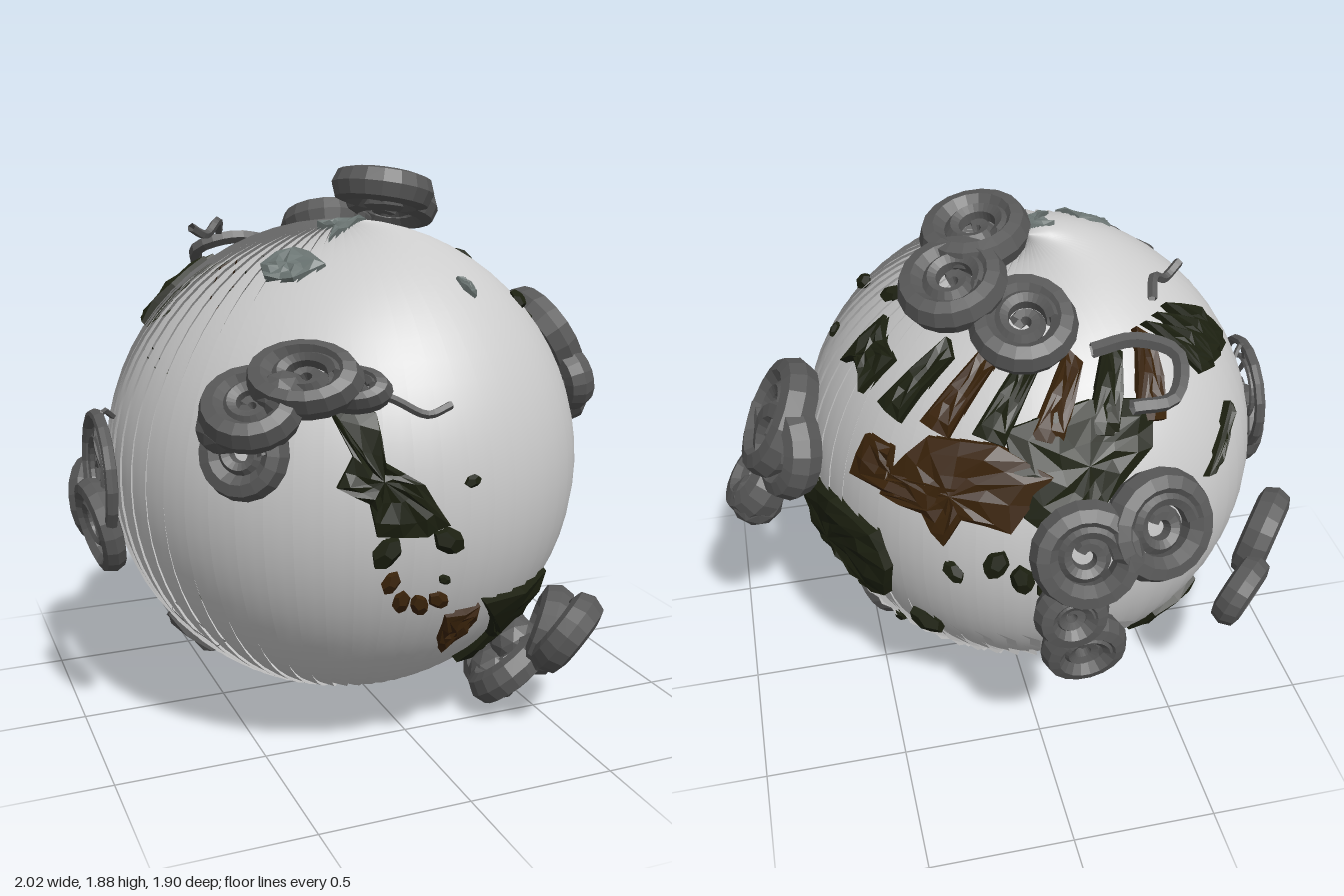
import * as THREE from 'three';
import { mergeGeometries } from 'three/addons/utils/BufferGeometryUtils.js';

const C = new THREE.Vector3(-0.09, 0.92, 0.13), R = 0.8, RAD = Math.PI / 180;
const mat = (color, flatShading = true) =>
  new THREE.MeshStandardMaterial({ color, flatShading, side: THREE.DoubleSide });
const shell = mat(0xcccccc, false), grey = mat(0x585858), film = mat(0x6a7472);
const green = mat(0x1c2010), brown = mat(0x3a230a);

// unit direction from longitude (0 = front, 90 = +x) and latitude
const dir = (lon, lat) => new THREE.Vector3(
  Math.sin(lon * RAD) * Math.cos(lat * RAD), Math.sin(lat * RAD), Math.cos(lon * RAD) * Math.cos(lat * RAD));

// directions from coordinates seen along one axis
const depth = (a, b) => Math.sqrt(Math.max(0, R * R - a * a - b * b));
const project = {
  front: (x, y) => new THREE.Vector3(x - C.x, y - C.y, depth(x - C.x, y - C.y)),
  right: (z, y) => new THREE.Vector3(depth(z - C.z, y - C.y), y - C.y, z - C.z),
  top: (x, z) => new THREE.Vector3(x - C.x, depth(x - C.x, z - C.z), z - C.z),
  polar: dir,
};

function surface(positions, index) {
  const g = new THREE.BufferGeometry();
  g.setAttribute('position', new THREE.Float32BufferAttribute(positions, 3));
  g.setIndex(index);
  g.computeVertexNormals();
  return g;
}

// globe: overlapping gores, each lifting slightly along one edge
function makeGlobe() {
  const n = 56, rows = 32, cols = 3, gores = [];
  for (let i = 0; i < n; i++) {
    const pos = [], idx = [];
    for (let j = 0; j <= rows; j++) for (let k = 0; k <= cols; k++) {
      const t = k / cols, lat = -90 + 180 * j / rows;
      const p = dir((i + t * 1.15) * 360 / n, lat).multiplyScalar(R - 0.008 + 0.011 * t).add(C);
      pos.push(p.x, p.y, p.z);
      if (j < rows && k < cols) {
        const a = j * (cols + 1) + k, b = a + cols + 1;
        idx.push(a, a + 1, b + 1, a, b + 1, b);
      }
    }
    gores.push(surface(pos, idx));
  }
  return mergeGeometries(gores);
}

// raised scales on the lower back of the globe
function makeScales() {
  const parts = [], o = new THREE.Object3D(), step = 6.43;
  for (let row = 0; row < 7; row++) {
    const lat = -28 - row * 8;
    for (let lon = 84; lon < 195; lon += step) {
      const d = dir(lon, lat);
      o.position.copy(C).addScaledVector(d, R - 0.004);
      o.lookAt(o.position.clone().add(d));
      o.rotateX(0.12);
      o.rotateY(-0.3);
      o.updateMatrix();
      parts.push(new THREE.PlaneGeometry(R * Math.cos(lat * RAD) * step * RAD * 1.1, 0.13).applyMatrix4(o.matrix));
    }
  }
  return mergeGeometries(parts);
}

// land: rings between the centre and an outline, domed over the globe
function land(view, pts, lift = 0.03) {
  const outline = [];
  pts.forEach((p, i) => {
    const a = project[view](...p).normalize(), b = project[view](...pts[(i + 1) % pts.length]).normalize();
    outline.push(a, a.clone().lerp(b, 0.5).normalize());
  });
  const centre = outline.reduce((s, v) => s.add(v), new THREE.Vector3()).normalize();
  const levels = [[0, lift], [0.35, lift * 0.8], [0.7, lift], [0.96, lift * 0.75], [1, -0.01]];
  const pos = [], idx = [], n = outline.length;
  levels.forEach(([t, h], j) => outline.forEach((v, i) => {
    const rough = j && j < 4 ? 0.007 * Math.sin(i * 2.6 + j * 1.9) : 0;
    const p = centre.clone().lerp(v, t).normalize().multiplyScalar(R + h + rough).add(C);
    pos.push(p.x, p.y, p.z);
    if (j < 4) {
      const a = j * n + i, b = j * n + (i + 1) % n;
      idx.push(a, a + n, b + n, a, b + n, b);
    }
  }));
  return surface(pos, idx);
}

function island(view, u, v, s) {
  const d = project[view](u, v).normalize();
  const o = new THREE.Object3D();
  o.lookAt(d);
  o.rotateZ(u * 9);
  o.position.copy(C).addScaledVector(d, R + 0.005);
  o.updateMatrix();
  return new THREE.DodecahedronGeometry(s).scale(1.2, 0.8, 0.6).applyMatrix4(o.matrix);
}

// coil wound inward
function spiral(r, tube, turns) {
  const pts = [];
  for (let i = 0; i <= 20; i++) {
    const t = i / 20, a = t * turns * Math.PI * 2, q = r * (1 - 0.75 * t);
    pts.push(new THREE.Vector3(q * Math.cos(a), q * Math.sin(a), tube * (0.6 - t)));
  }
  return new THREE.TubeGeometry(new THREE.CatmullRomCurve3(pts), 30, tube, 6);
}

// cloud curl: outer ring with a spiral inside, facing away from the globe
function curl([x, y, z, r, tube = 0.045, normal, squash = 1]) {
  const g = new THREE.Group();
  const ring = new THREE.Mesh(new THREE.TorusGeometry(r, tube, 7, 18), grey);
  const inner = new THREE.Mesh(spiral(r * 0.75, tube * 0.6, 1.4), grey);
  ring.scale.z = inner.scale.z = 1.3;
  ring.name = 'curlRing';
  inner.name = 'curlSpiral';
  g.add(ring, inner);
  g.position.set(x, y, z);
  const n = normal ? new THREE.Vector3(...normal) : g.position.clone().sub(C);
  g.lookAt(g.position.clone().add(n));
  g.scale.set(1, squash, 1);
  g.name = 'cloudCurl';
  return g;
}

function wisp(points, r = 0.01) {
  const curve = new THREE.CatmullRomCurve3(points.map(p => new THREE.Vector3(...p)));
  return new THREE.TubeGeometry(curve, 16, r, 5);
}

export function createModel() {
  const model = new THREE.Group();
  const add = (name, geometry, material) => {
    const m = new THREE.Mesh(geometry, material);
    m.name = name;
    model.add(m);
    return m;
  };
  add('globe', makeGlobe(), shell);
  add('globeScales', makeScales(), shell);

  // continents
  add('northWestLand', land('front', [[-0.4, 1.28], [-0.26, 1.24], [-0.25, 1.1], [-0.14, 1.03], [-0.06, 0.9], [-0.13, 0.87],
    [-0.28, 0.88], [-0.3, 0.98], [-0.39, 1.03], [-0.34, 1.12]]), green);
  add('southWestLand', land('front', [[0.1, 0.61], [0.44, 0.6], [0.42, 0.45], [0.34, 0.28], [0.2, 0.25],
    [0.12, 0.31], [0.2, 0.42], [0.18, 0.5]]), green);
  add('southWestCoast', land('front', [[-0.03, 0.58], [0.1, 0.59], [0.08, 0.5], [0, 0.42], [-0.03, 0.48]], 0.02), brown);
  add('southLand', land('right', [[0.16, 0.76], [0.12, 0.92], [0, 0.95], [-0.2, 1.0], [-0.38, 0.98], [-0.42, 0.85],
    [-0.36, 0.68], [-0.27, 0.67], [-0.2, 0.73], [-0.08, 0.73], [0.02, 0.69]], 0.04), green);
  add('northLand', land('right', [[0.02, 1.54], [-0.07, 1.5], [-0.16, 1.48], [-0.15, 1.36], [-0.04, 1.42], [0.02, 1.38]]), green);
  add('peninsula', land('right', [[-0.25, 1.28], [-0.34, 1.28], [-0.38, 1.18], [-0.52, 1.22], [-0.5, 1.13], [-0.26, 1.14]], 0.04), brown);
  add('eastLand', land('polar', [[132, 22], [140, 32], [160, 33], [174, 26], [164, 13], [152, 15], [148, 7], [142, 14], [130, 15]], 0.035), brown);
  add('farEastLand', land('polar', [[160, 36], [185, 42], [205, 38], [200, 28], [185, 18], [176, 8], [166, 16]], 0.03), green);
  // northern strips
  for (let i = 0; i < 6; i++) {
    const lon = 122 + i * 15;
    add('northStrip', land('polar', [[lon, 34], [lon + 9, 32], [lon + 19, 50], [lon + 14, 54]], 0.035), i % 2 ? brown : green);
  }
  for (let i = 0; i < 3; i++) {
    const lon = 226 + i * 8;
    add('farNorthStrip', land('polar', [[lon, 36 - i], [lon + 8, 34], [lon + 6, 46], [lon - 10, 54]]), green);
  }
  add('southEastLand', land('polar', [[210, -34], [224, -26], [234, -36], [238, -56], [220, -58], [208, -46]]), green);
  add('islandChain', land('polar', [[215, 14], [219, 14], [234, 24], [232, 26]]), green);
  add('polarLand', land('polar', [[85, -76], [140, -80], [150, -73], [118, -69]], 0.02), grey);
  add('polarLand', land('polar', [[190, -80], [200, -72], [245, -70], [260, -80]], 0.02), grey);
  add('lowerFragment', land('polar', [[256, -42], [272, -38], [278, -52], [262, -58]], 0.025), grey);

  // islands
  const islands = [['front', -0.06, 0.85, 0.05], ['front', -0.25, 0.83, 0.05], ['front', 0.02, 1.02, 0.025],
    ['front', -0.06, 0.72, 0.02], ['right', 0.4, 1.46, 0.04], ['right', 0.25, 1.37, 0.025], ['right', 0.1, 1.57, 0.04],
    ['right', -0.43, 0.6, 0.06], ['right', -0.12, 0.54, 0.03], ['right', -0.25, 0.47, 0.035], ['polar', 150, 0, 0.04],
    ['polar', 160, 4, 0.05], ['polar', 166, 0, 0.05], ['polar', 172, -4, 0.045], ['polar', 185, -3, 0.04]];
  islands.forEach(i => add('island', island(...i), green));
  [[-0.23, 0.73], [-0.19, 0.66], [-0.13, 0.64], [-0.07, 0.65]].forEach(p => add('isthmus', island('front', ...p, 0.035), brown));

  // thin patches near the pole
  add('polarFilm', land('top', [[-0.22, 0.36], [-0.12, 0.28], [0.0, 0.14], [-0.12, 0.18], [-0.2, 0.2], [-0.16, 0.26]], 0.015), film);
  add('polarFilm', land('top', [[-0.44, 0.34], [-0.32, 0.33], [-0.27, 0.48], [-0.38, 0.49], [-0.45, 0.42]], 0.015), film);
  add('polarFilm', land('top', [[0.14, 0.54], [0.18, 0.55], [0.18, 0.6], [0.15, 0.58]], 0.015), film);

  // clouds: x, y, z, ring radius, tube radius, facing, squash
  const slope = [-0.35, 0.75, 0.55];
  const clouds = {
    topCloud: [[0.11, 1.81, 0.02, 0.135, 0.045, [0.2, 1, -0.15]], [0.22, 1.74, -0.17, 0.13, 0.045, [0.25, 1, -0.3]],
      [0.03, 1.66, -0.32, 0.125, 0.045, [0.1, 0.9, -0.45]]],
    leftCloud: [[0.79, 1.24, -0.05, 0.16, 0.05, [0.85, 0.5, 0]], [0.78, 1.2, -0.17, 0.12, 0.05],
      [0.88, 1.02, -0.08, 0.09, 0.055, [0.7, 0.6, 0]], [0.84, 1.1, 0.08, 0.08, 0.045]],
    lowerCloud: [[0.51, 0.37, 0.69, 0.11, 0.045], [0.52, 0.32, 0.54, 0.12, 0.045, [0.8, -0.3, 0.5]],
      [0.45, 0.165, 0.31, 0.12, 0.045, [0.8, -0.5, 0.2]], [0.39, 0.18, 0.5, 0.11, 0.045]],
    frontCloud: [[-0.46, 1.34, 0.8, 0.13, 0.045, slope, 0.7], [-0.61, 1.26, 0.77, 0.11, 0.045, slope, 0.9],
      [-0.63, 1.13, 0.76, 0.1, 0.04], [-0.33, 1.31, 0.85, 0.08, 0.035, slope, 0.6]],
    rightCloud: [[-0.94, 0.94, 0.18, 0.2, 0.016, [-1, 0, 0]], [-0.95, 0.78, 0.2, 0.13, 0.03, [-1, -0.2, 0.1]]],
    backRightCloud: [[-0.84, 0.7, -0.36, 0.13, 0.045, [-0.8, -0.2, -0.6]], [-0.71, 0.6, -0.53, 0.1, 0.04, [-0.7, -0.3, -0.7]]],
    backCloud: [[-0.05, 1.15, -0.83, 0.13, 0.045, [0.1, 0.35, -0.9]], [-0.28, 1.2, -0.8, 0.135, 0.045, [-0.2, 0.4, -0.9]],
      [0.0, 0.95, -0.86, 0.08, 0.04, [0, 0.1, -1]], [-0.05, 0.78, -0.84, 0.1, 0.04, [0, -0.15, -1]]],
  };
  for (const [name, curls] of Object.entries(clouds)) {
    const g = new THREE.Group();
    g.name = name;
    curls.forEach(c => g.add(curl(c)));
    model.add(g);
  }
  // solid cloud lumps
  [[0.9, 0.97, -0.12, 0.09], [0.46, 0.24, 0.42, 0.09], [0.4, 0.12, 0.4, 0.1], [-0.52, 1.29, 0.79, 0.08], [-0.68, 1.2, 0.72, 0.08]]
    .forEach(([x, y, z, s]) => add('cloudLump', new THREE.IcosahedronGeometry(s, 1), grey).position.set(x, y, z));
  // loose wisps
  add('frontWisp', wisp([[-0.35, 1.33, 0.86], [-0.22, 1.28, 0.88], [-0.12, 1.23, 0.9], [-0.04, 1.25, 0.89]], 0.013), grey);
  add('sideWisp', wisp([[-0.93, 0.95, 0.25], [-0.95, 1.06, 0.2], [-0.92, 1.15, 0.18], [-0.88, 1.12, 0.14]]), grey);
  add('backWisp', wisp([[-0.16, 1.6, -0.42], [-0.3, 1.62, -0.42], [-0.42, 1.58, -0.47], [-0.38, 1.5, -0.58], [-0.24, 1.5, -0.6]], 0.025), grey);
  add('poleWisp', wisp([[-0.54, 1.69, -0.1], [-0.48, 1.66, -0.14], [-0.42, 1.7, -0.2], [-0.4, 1.66, -0.26]], 0.016), grey);
  return model;
}
